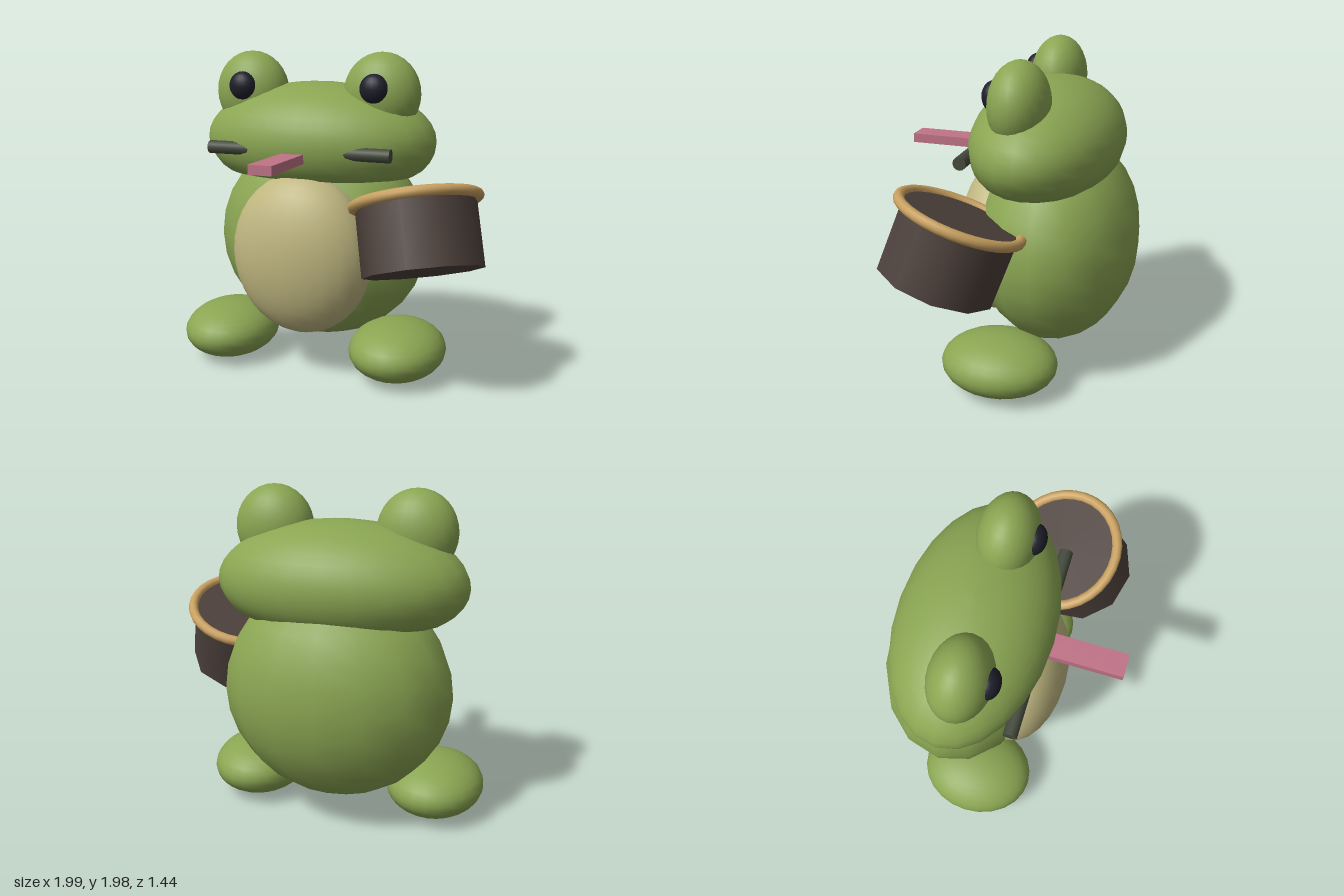
import * as THREE from 'three';

const mat = (name, color) => {
  const m = new THREE.MeshStandardMaterial({ color });
  m.name = name;
  return m;
};

export function createModel() {
  const root = new THREE.Group();
  root.name = 'frog';

  const green = mat('frog green', 0x8aa552);
  const cream = mat('belly cream', 0xbfb680);
  const black = mat('eye black', 0x1e1e2a);
  const darkGrey = mat('dark grey green', 0x444a3c);
  const pink = mat('tongue pink', 0xc07287);
  const brown = mat('drum brown', 0x4c403b);
  const tan = mat('rim tan', 0xc8a060);

  const add = (parent, name, geometry, material, x, y, z) => {
    const mesh = new THREE.Mesh(geometry, material);
    mesh.name = name;
    mesh.position.set(x, y, z);
    parent.add(mesh);
    return mesh;
  };
  const ellipsoid = (rx, ry, rz, w = 24, h = 16) =>
    new THREE.SphereGeometry(1, w, h).scale(rx, ry, rz);

  // The frog is symmetric about its own middle line, left of the drum
  const frog = new THREE.Group();
  frog.name = 'frogBody';
  frog.position.x = -0.135;
  root.add(frog);

  add(frog, 'body', ellipsoid(0.685, 0.655, 0.5, 16, 14), green, 0, 0.82, -0.22);
  add(frog, 'belly', ellipsoid(0.445, 0.5, 0.26, 24, 18), cream, 0, 0.78, 0.15);

  // Head: an ellipsoid whose underside is flattened into a broad jaw
  const headGeo = ellipsoid(0.745, 0.36, 0.45, 24, 20);
  const p = headGeo.attributes.position;
  for (let i = 0; i < p.count; i++) {
    const y = p.getY(i);
    if (y < -0.2) p.setY(i, -0.2 + (y + 0.2) * 0.28);
  }
  headGeo.computeVertexNormals();
  // Keep normals matching across the sphere's seam
  const n = headGeo.attributes.normal;
  for (let row = 0; row <= 20; row++) {
    const a = row * 25, b = a + 24;
    const v = new THREE.Vector3().fromBufferAttribute(n, a)
      .add(new THREE.Vector3().fromBufferAttribute(n, b)).normalize();
    n.setXYZ(a, v.x, v.y, v.z);
    n.setXYZ(b, v.x, v.y, v.z);
  }
  add(frog, 'head', headGeo, green, 0, 1.445, -0.15);

  // Paired parts
  for (const s of [-1, 1]) {
    const side = s > 0 ? 'left' : 'right';
    add(frog, side + 'Foot', ellipsoid(0.297, 0.179, 0.355), green, s * 0.569, 0.187, -0.01);
    add(frog, side + 'EyeBulge', ellipsoid(0.235, 0.248, 0.175), green, s * 0.423, 1.738, -0.09);
    add(frog, side + 'Pupil', ellipsoid(0.087, 0.087, 0.065, 20, 12), black, s * 0.42, 1.778, 0.06);
    const rod = new THREE.CylinderGeometry(0.04, 0.04, 0.3, 12).rotateZ(Math.PI / 2);
    add(frog, side + 'CheekRod', rod, darkGrey, s * 0.422, 1.417, 0.215);
  }

  add(frog, 'tongue', new THREE.BoxGeometry(0.14, 0.055, 0.6), pink, 0, 1.383, 0.42);

  // Tilted drum with its rim around the upper edge
  const top = new THREE.Vector3(0.572, 1.155, 0.16);
  const bottom = new THREE.Vector3(0.66, 0.78, 0.288);
  const axis = top.clone().sub(bottom);
  const height = axis.length();
  const drum = new THREE.Group();
  drum.name = 'drum';
  drum.position.copy(bottom);
  drum.quaternion.setFromUnitVectors(new THREE.Vector3(0, 1, 0), axis.normalize());
  root.add(drum);
  add(drum, 'drumShell', new THREE.CylinderGeometry(0.348, 0.348, height, 10), brown, 0, height / 2, 0);
  // A round skin fills the rim
  add(drum, 'drumSkin', new THREE.CylinderGeometry(0.35, 0.35, 0.008, 32), brown, 0, height, 0);
  const rim = new THREE.TorusGeometry(0.358, 0.031, 10, 32).rotateX(Math.PI / 2);
  add(drum, 'drumRim', rim, tan, 0, height, 0);

  return root;
}
